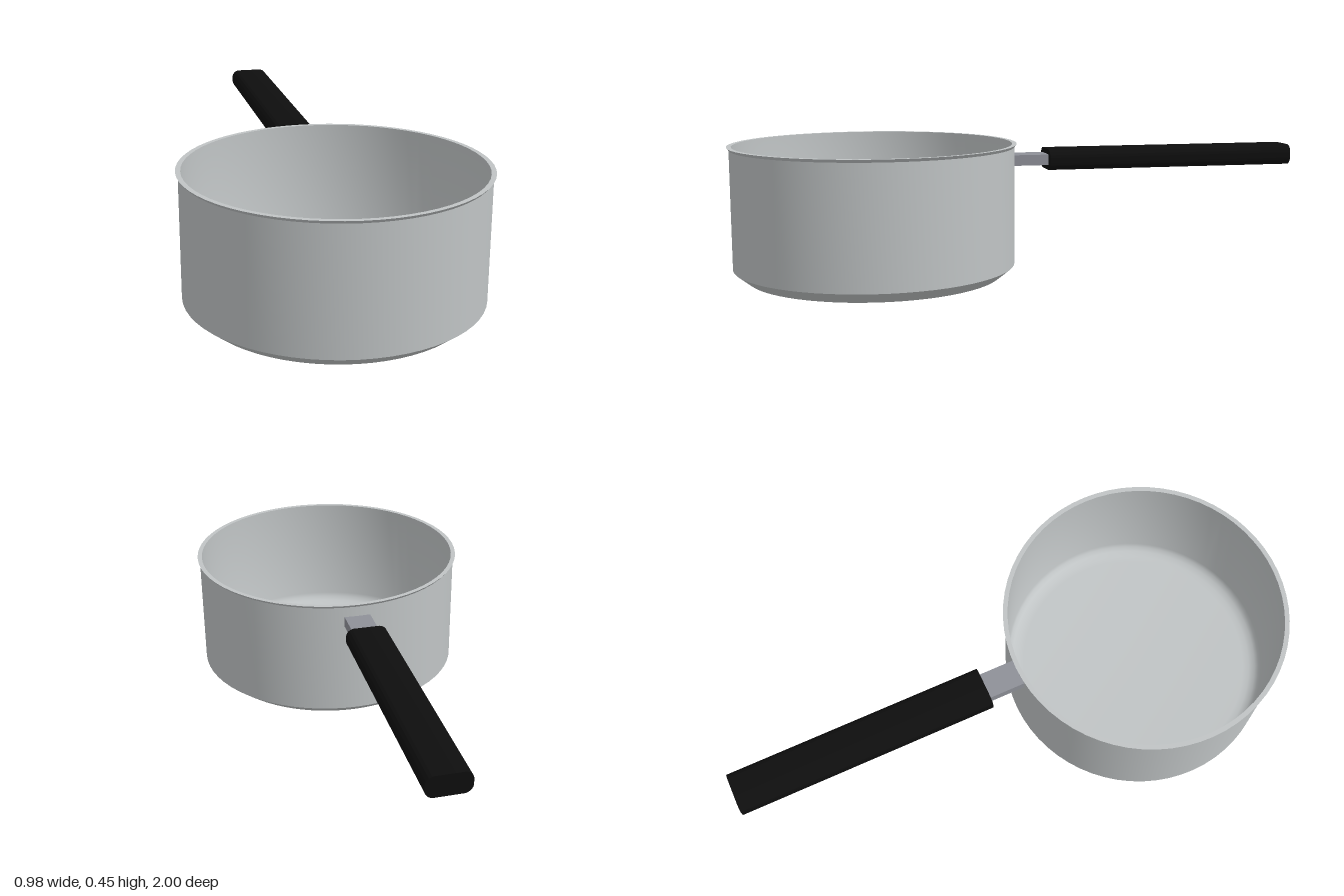
import * as THREE from 'three';
import { toCreasedNormals } from 'three/addons/utils/BufferGeometryUtils.js';

const mat = (name, color) => new THREE.MeshStandardMaterial({ name, color });

// Rectangle with rounded corners, centred on the origin
function roundedRect(w, h, r) {
  const x = w / 2, y = h / 2, s = new THREE.Shape();
  s.moveTo(-x + r, -y);
  s.lineTo(x - r, -y);
  s.absarc(x - r, -y + r, r, -Math.PI / 2, 0);
  s.lineTo(x, y - r);
  s.absarc(x - r, y - r, r, 0, Math.PI / 2);
  s.lineTo(-x + r, y);
  s.absarc(-x + r, y - r, r, Math.PI / 2, Math.PI);
  s.lineTo(-x, -y + r);
  s.absarc(-x + r, -y + r, r, Math.PI, Math.PI * 1.5);
  return s;
}

export function createModel() {
  const steel = mat('brushed steel', 0xc0c4c5);
  const bracketSteel = mat('bracket steel', 0x8e9098);
  const black = mat('black grip', 0x0e0e0e);

  const model = new THREE.Group();
  model.name = 'saucepan';
  const add = (name, geometry, material, x, y, z) => {
    const mesh = new THREE.Mesh(geometry, material);
    mesh.name = name;
    mesh.position.set(x, y, z);
    model.add(mesh);
  };

  // Pan: outer base, bevel, wall and flared lip, then back down the inside
  const profile = [
    [0, 0], [0.437, 0], [0.483, 0.037], [0.483, 0.443], [0.491, 0.453],
    [0.475, 0.453], [0.475, 0.05], [0.469, 0.035], [0.457, 0.022],
    [0.437, 0.014], [0.415, 0.012], [0, 0.012],
  ].map(([r, y]) => new THREE.Vector2(r, y));
  const pan = toCreasedNormals(new THREE.LatheGeometry(profile, 64), 0.6);
  add('pan', pan, steel, 0, 0, 0.509);

  // Short bracket joining the wall to the grip
  add('handleBracket', new THREE.BoxGeometry(0.092, 0.037, 0.15), bracketSteel, 0, 0.388, -0.045);

  // Long rounded grip
  const grip = new THREE.ExtrudeGeometry(roundedRect(0.143, 0.072, 0.028), {
    depth: 0.902, bevelEnabled: false, curveSegments: 8,
  });
  add('handleGrip', toCreasedNormals(grip, 0.6), black, 0, 0.388, -1);

  return model;
}
